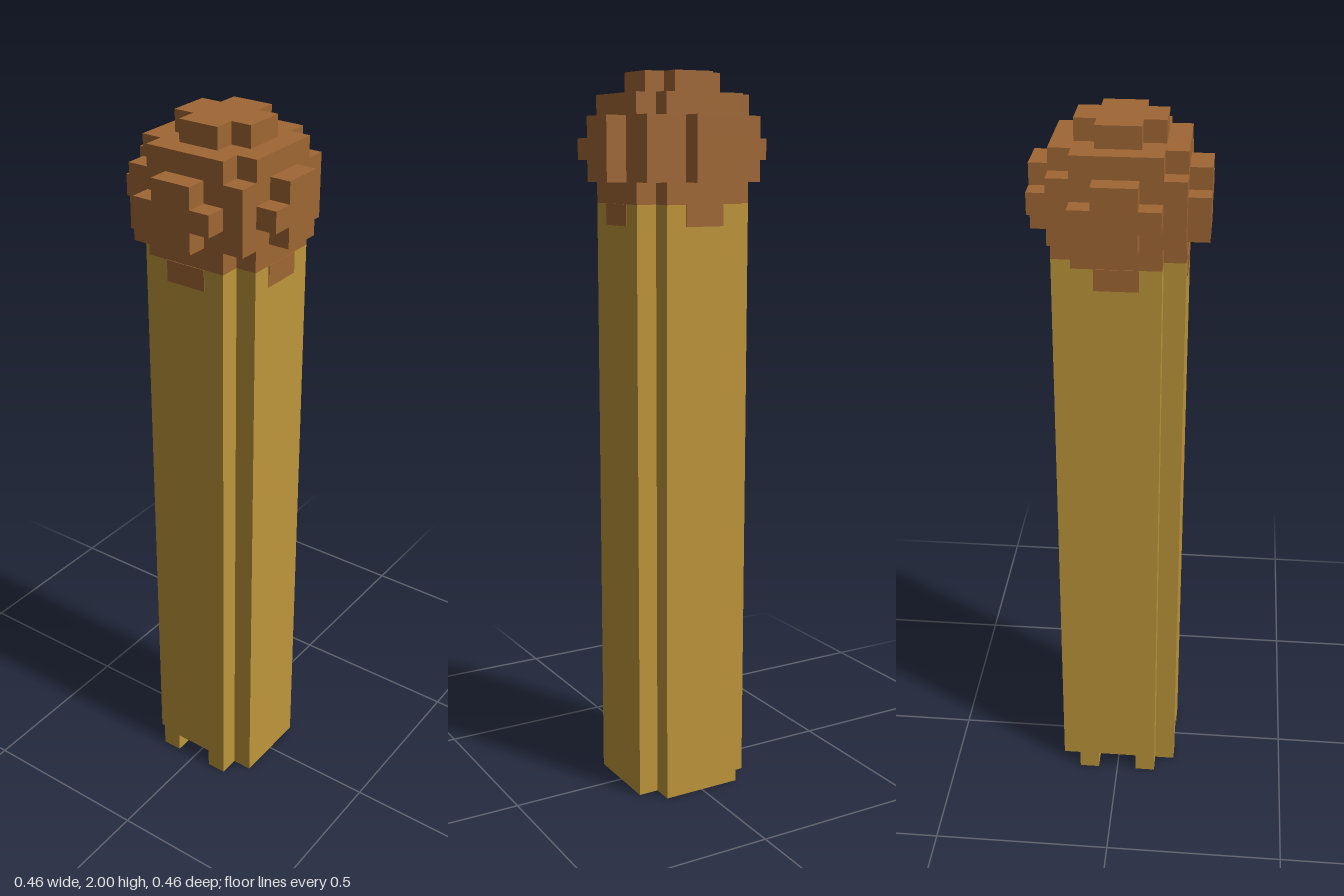
import * as THREE from 'three';

const U = 2 / 35; // one block unit; the model is 35 units tall

export function createModel() {
  const gold = new THREE.MeshStandardMaterial({ color: 0xbe963b });
  gold.name = 'gold';
  const brown = new THREE.MeshStandardMaterial({ color: 0xa06734 });
  brown.name = 'brown';

  const model = new THREE.Group();
  model.name = 'blockTorch';

  const extrude = (points, depth) =>
    new THREE.ExtrudeGeometry(
      new THREE.Shape(points.map(([x, y]) => new THREE.Vector2(x * U, y * U))),
      { depth: depth * U, bevelEnabled: false }
    );

  // Vertical slab with a plan outline given as [x, -z]
  function layer(name, outline, y0, y1, material) {
    const mesh = new THREE.Mesh(extrude(outline, y1 - y0).rotateX(-Math.PI / 2), material);
    mesh.position.y = y0 * U;
    mesh.name = name;
    model.add(mesh);
  }

  // Square outline with notched corners: a = outer half width, b = arm half width
  const cross = (a, b) => [
    [a, -b], [a, b], [b, b], [b, a], [-b, a], [-b, b],
    [-a, b], [-a, -b], [-b, -b], [-b, -a], [b, -a], [b, -b],
  ];

  // Foot with notches in its front and -x sides
  const foot = cross(3, 2);
  foot.splice(10, 0, [-1, -3], [-1, -2], [1, -2], [1, -3]);
  foot.splice(7, 0, [-3, 1], [-2, 1], [-2, -1], [-3, -1]);

  layer('foot', foot, 0, 1, gold);
  layer('shaft', cross(3, 2), 1, 29, gold);
  layer('collar', cross(3, 2), 29, 30, brown);
  layer('head', [[-3, -3], [3, -3], [3, 3], [-3, 3]], 30, 33, brown);
  layer('shoulder', cross(3, 2), 33, 34, brown);
  layer('cap', cross(2, 1), 34, 35, brown);

  // Stepped knob on each side of the head: [from, to] per row, bottom row first
  const sides = [
    { name: 'front', angle: 0, rows: [[-2, 1], [-2, 2], [-1, 1]] },
    { name: 'left', angle: Math.PI / 2, rows: [[-1, 1], [-2, 1], [-1, 1]] },
    { name: 'back', angle: Math.PI, rows: [[-1, 1], [-1, 2], [-1, 1]] },
    { name: 'right', angle: -Math.PI / 2, rows: [[-1, 1], [-2, 2], [-1, 1]] },
  ];
  for (const { name, angle, rows } of sides) {
    const side = new THREE.Group();
    side.name = name + 'Side';
    side.rotation.y = angle;

    const rightEdge = rows.flatMap(([, to], i) => [[to, i], [to, i + 1]]);
    const leftEdge = rows.flatMap(([from], i) => [[from, i], [from, i + 1]]).reverse();
    const knob = new THREE.Mesh(extrude([...rightEdge, ...leftEdge], 1), brown);
    knob.name = name + 'Knob';
    knob.position.set(0, 30 * U, 3 * U);

    // Drip running down from the collar
    const drip = new THREE.Mesh(new THREE.BoxGeometry(2 * U, U, 0.004), brown);
    drip.name = name + 'Drip';
    drip.position.set(0, 28.5 * U, 3 * U);

    side.add(knob, drip);
    model.add(side);
  }

  return model;
}
